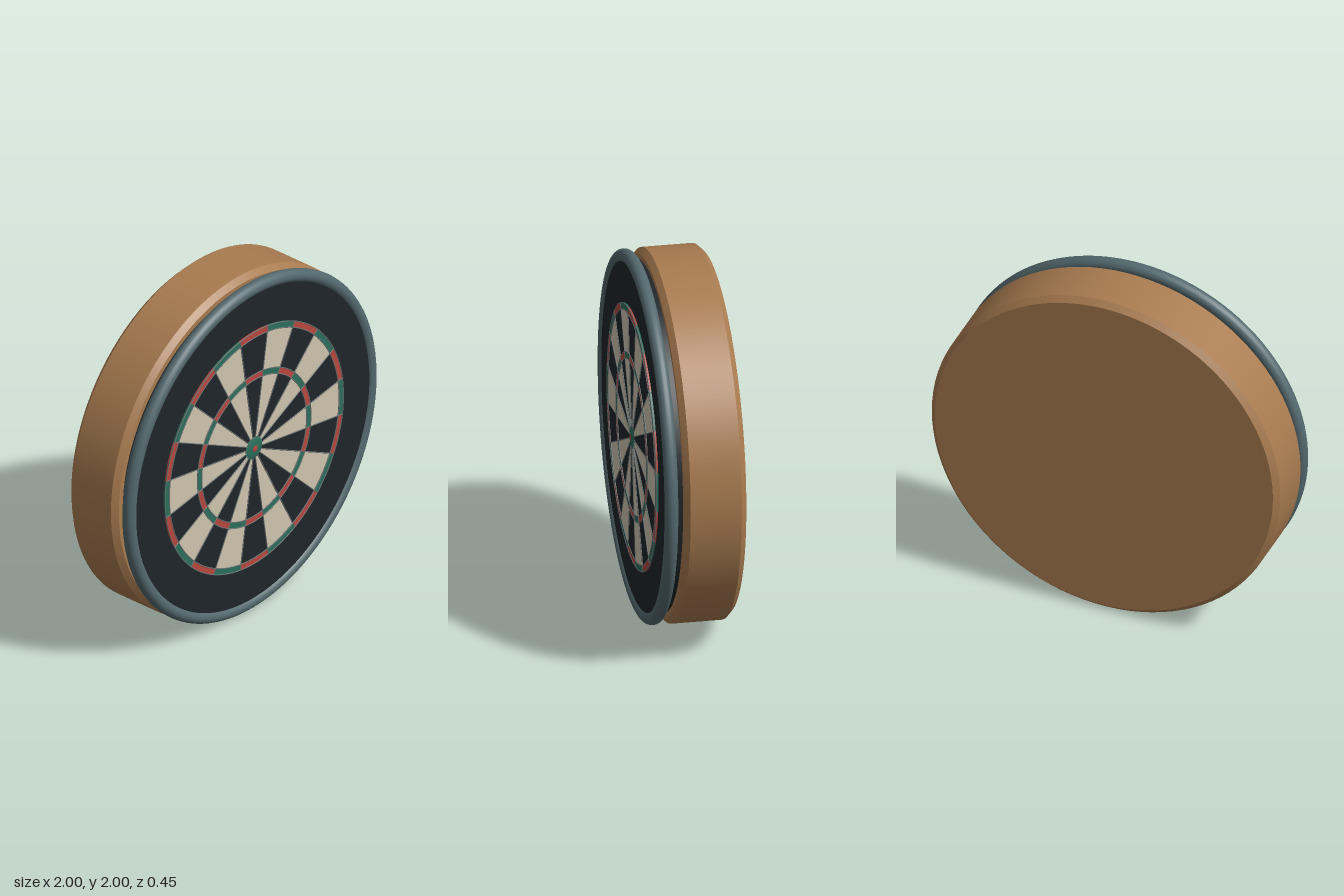
import * as THREE from 'three';

const paint = (color) => new THREE.MeshStandardMaterial({ color });
const wood = paint(0xa87b50), steel = paint(0x53686d), black = paint(0x1f2529);
const cream = paint(0xcfc5ae), green = paint(0x2b6e5b), red = paint(0xb8463c), wire = paint(0x6f7575);

function add(parent, name, geometry, material) {
  const mesh = new THREE.Mesh(geometry, material);
  mesh.name = name;
  parent.add(mesh);
  return mesh;
}

// Solid of revolution around z, from [radius, z] points; each band has its own
// normals so the edges stay sharp
function turned(parent, name, points, material) {
  const group = new THREE.Group();
  group.name = name;
  for (let i = 0; i + 1 < points.length; i++) {
    const band = points.slice(i, i + 2).map(([r, z]) => new THREE.Vector2(r, z));
    add(group, name + 'Band', new THREE.LatheGeometry(band, 96).rotateX(Math.PI / 2), material);
  }
  parent.add(group);
}

// Slice of a flat ring centred on the given angle
function sector(inner, outer, angle, z, depth) {
  const half = Math.PI / 20;
  const shape = new THREE.Shape();
  shape.absarc(0, 0, outer, angle - half, angle + half, false);
  shape.absarc(0, 0, inner, angle + half, angle - half, true);
  shape.closePath();
  return new THREE.ExtrudeGeometry(shape, { depth, bevelEnabled: false, curveSegments: 8 }).translate(0, 0, z);
}

export function createModel() {
  const model = new THREE.Group();
  model.name = 'dartboard';
  const board = new THREE.Group();
  board.name = 'board';
  board.position.y = 1;
  model.add(board);

  // Chamfered wooden backing, dark disc and rounded metal rim
  turned(board, 'backing', [[0, -0.225], [0.97, -0.225], [1, -0.195], [1, 0.08], [0.97, 0.11], [0, 0.11]], wood);
  turned(board, 'disc', [[0.94, 0.11], [0.94, 0.2], [0, 0.2]], black);
  add(board, 'rim', new THREE.TorusGeometry(0.963, 0.037, 20, 128).translate(0, 0, 0.177), steel);

  // Twenty scoring wedges with the narrow double and triple rings
  const wedges = new THREE.Group();
  wedges.name = 'wedges';
  board.add(wedges);
  for (let i = 0; i < 20; i++) {
    const angle = Math.PI / 2 - i * Math.PI / 10;
    const [field, ring] = i % 2 ? [cream, green] : [black, red];
    add(wedges, 'innerField', sector(0.05, 0.42, angle, 0.195, 0.013), field);
    add(wedges, 'outerField', sector(0.455, 0.68, angle, 0.195, 0.013), field);
    add(wedges, 'tripleRing', sector(0.42, 0.455, angle, 0.195, 0.015), ring);
    add(wedges, 'doubleRing', sector(0.68, 0.715, angle, 0.195, 0.015), ring);
  }

  // Wire spider
  const spider = new THREE.Group();
  spider.name = 'spider';
  spider.position.z = 0.21;
  board.add(spider);
  for (const radius of [0.42, 0.455, 0.68, 0.715])
    add(spider, 'ringWire', new THREE.TorusGeometry(radius, 0.003, 6, 100), wire);
  for (let i = 0; i < 20; i++) {
    const spoke = new THREE.CylinderGeometry(0.003, 0.003, 0.655, 6).translate(0, 0.3875, 0);
    add(spider, 'spokeWire', spoke, wire).rotation.z = (i + 0.5) * Math.PI / 10;
  }

  // Domed bullseye
  const dome = (radius, depth) => new THREE.SphereGeometry(radius, 32, 16).scale(1, 1, depth / radius);
  add(board, 'outerBull', dome(0.07, 0.016), green).position.z = 0.203;
  add(board, 'innerBull', dome(0.03, 0.012), red).position.z = 0.209;
  return model;
}
